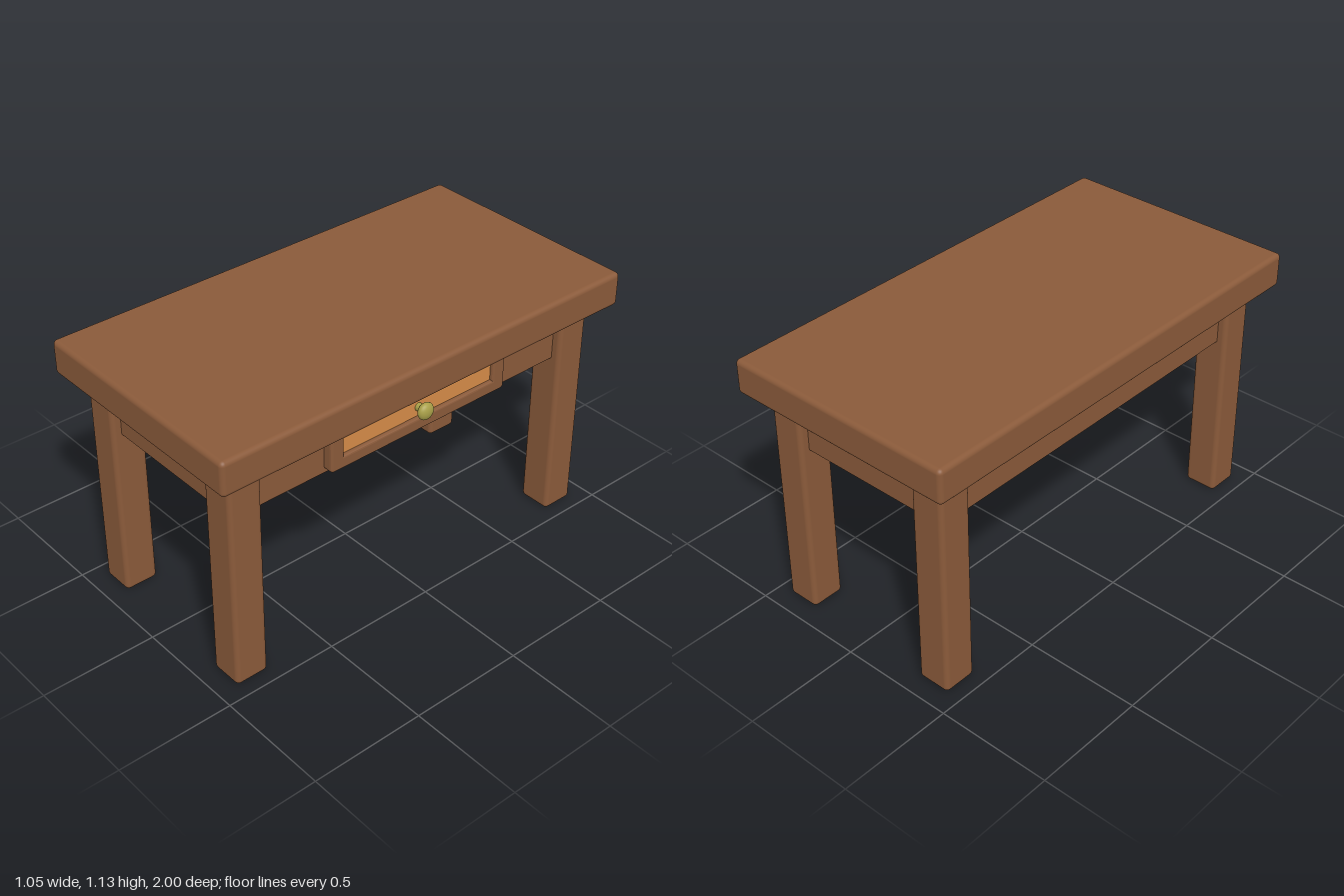
import * as THREE from 'three';
import { RoundedBoxGeometry } from 'three/addons/geometries/RoundedBoxGeometry.js';

const wood = new THREE.MeshStandardMaterial({ color: 0x8a5a3a });
const paleWood = new THREE.MeshStandardMaterial({ color: 0xd68c48 });
const brass = new THREE.MeshStandardMaterial({ color: 0xa89f48 });

function add(parent, name, geometry, material, x, y, z) {
  const mesh = new THREE.Mesh(geometry, material);
  mesh.name = name;
  mesh.position.set(x, y, z);
  parent.add(mesh);
  return mesh;
}

// Rectangle outline centred on the origin, with softened corners
function roundedRect(target, hw, hh, r) {
  target.absarc(hw - r, hh - r, r, 0, Math.PI / 2);
  target.absarc(-hw + r, hh - r, r, Math.PI / 2, Math.PI);
  target.absarc(-hw + r, -hh + r, r, Math.PI, Math.PI * 1.5);
  target.absarc(hw - r, -hh + r, r, Math.PI * 1.5, Math.PI * 2);
  target.closePath();
  return target;
}

// Bevelled frame with a window, facing +x
function drawerFrameGeometry() {
  const bevel = 0.01;
  const shape = roundedRect(new THREE.Shape(), 0.447 - bevel, 0.097 - bevel, 0.006);
  shape.holes.push(roundedRect(new THREE.Path(), 0.383 + bevel, 0.041 + bevel, 0.006));
  const geometry = new THREE.ExtrudeGeometry(shape, {
    depth: 0.042, bevelEnabled: true, bevelThickness: bevel, bevelSize: bevel,
    bevelSegments: 3, curveSegments: 4,
  });
  return geometry.rotateY(Math.PI / 2);
}

export function createModel() {
  const table = new THREE.Group();
  table.name = 'table';

  // Thick top and the solid body beneath it
  add(table, 'tableTop', new RoundedBoxGeometry(1.05, 0.15, 2, 4, 0.02), wood, 0, 1.055, 0);
  add(table, 'apron', new RoundedBoxGeometry(0.8, 0.235, 1.75, 3, 0.012), wood, 0, 0.8725, 0);

  // Four square legs
  const legGeometry = new RoundedBoxGeometry(0.148, 0.98, 0.148, 4, 0.02);
  for (const [side, x] of [['Left', 1], ['Right', -1]]) {
    for (const [end, z] of [['front', 1], ['back', -1]]) {
      add(table, `${end}${side}Leg`, legGeometry, wood, x * 0.366, 0.49, z * 0.842);
    }
  }

  // Drawer front with an inset panel and a knob
  const drawer = new THREE.Group();
  drawer.name = 'drawer';
  drawer.position.set(0, 0.873, 0);
  table.add(drawer);
  add(drawer, 'drawerFrame', drawerFrameGeometry(), wood, 0.39, 0, 0);
  add(drawer, 'drawerPanel', new THREE.BoxGeometry(0.04, 0.1, 0.79), paleWood, 0.405, 0, 0);
  const stem = add(drawer, 'knobStem', new THREE.CylinderGeometry(0.015, 0.018, 0.045, 20), brass, 0.441, 0, 0);
  stem.rotation.z = -Math.PI / 2;
  const knob = add(drawer, 'knob', new THREE.SphereGeometry(0.037, 28, 18), brass, 0.466, 0, 0);
  knob.scale.x = 0.62;

  return table;
}
